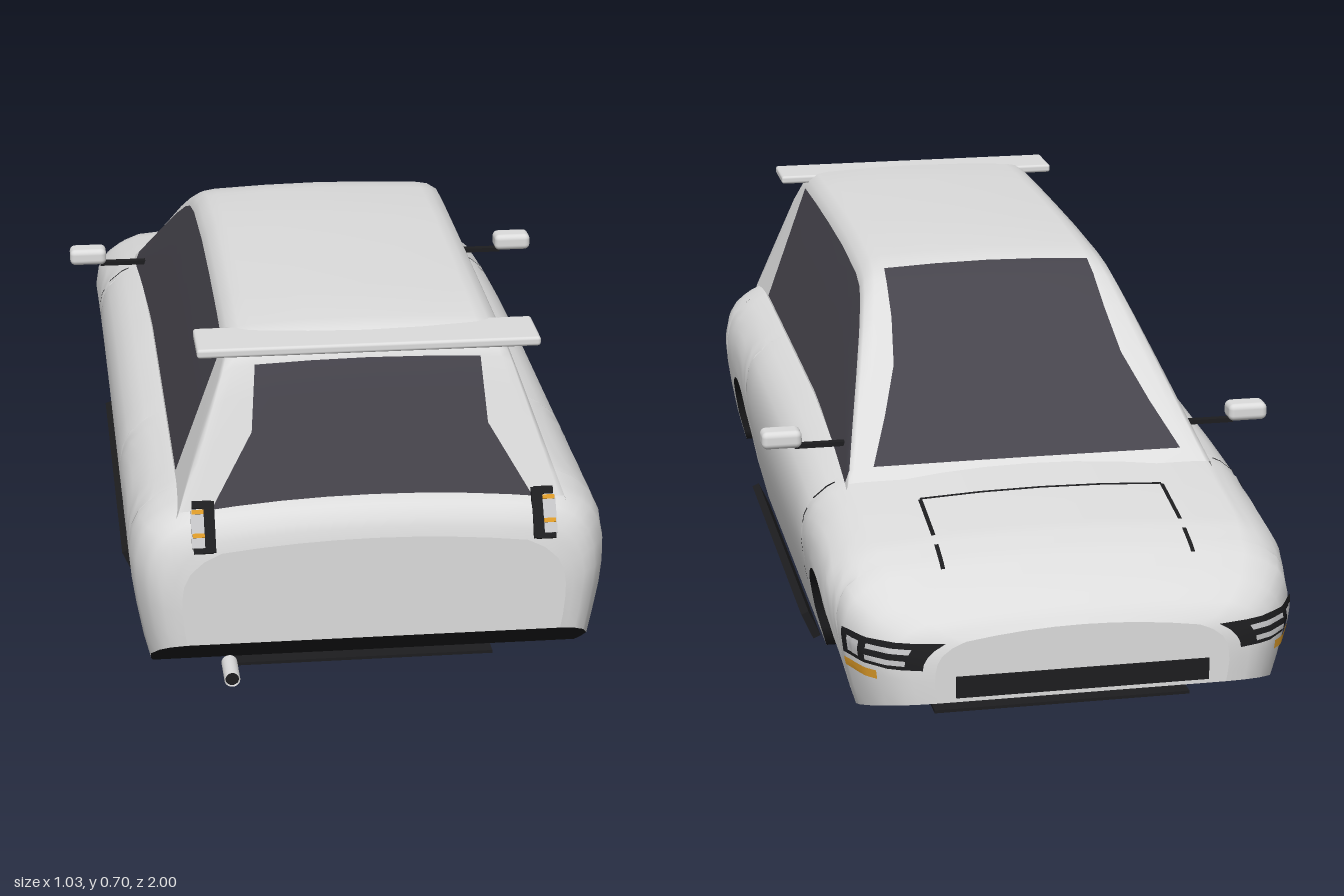
import * as THREE from 'three';
import { RoundedBoxGeometry } from 'three/addons/geometries/RoundedBoxGeometry.js';

const mat = (name, color, side = THREE.FrontSide) => {
  const m = new THREE.MeshStandardMaterial({ color, side });
  m.name = name;
  return m;
};

// Linear lookup in a table of [key, value]
function look(table, k) {
  if (k <= table[0][0]) return table[0][1];
  for (let i = 1; i < table.length; i++) {
    const [k0, v0] = table[i - 1], [k1, v1] = table[i];
    if (k <= k1) return v0 + (v1 - v0) * (k - k0) / (k1 - k0);
  }
  return table[table.length - 1][1];
}

// Body curves along z: half width, shoulder height, lower edge
const WIDTH = [[-1, .27], [-.99, .32], [-.97, .36], [-.93, .4], [-.87, .43], [-.75, .45], [.85, .45], [.9, .442], [.94, .42], [.96, .395], [.97, .36]];
const DECK = [[-1, .215], [-.98, .24], [-.93, .275], [-.85, .31], [-.78, .33], [-.65, .35], [-.5, .37], [-.3, .385], [0, .395], [.8, .395], [.9, .39], [.925, .385], [.95, .37], [.965, .345], [.97, .32]];
const SKIRT = [[-1, .1], [-.83, .04], [-.829, .01], [.814, .01], [.816, .03], [.97, .135]];
// Side bulge by relative height
const BULGE = [[0, .89], [.25, .945], [.5, .985], [.68, 1], [.8, .985], [.88, .95], [.95, .88], [1, .79]];
// Cabin curves along z: roofline and half width of the front and rear glass
const ROOF = [[-.53, .375], [-.5, .395], [-.4, .468], [-.3, .543], [-.2, .615], [-.12, .664], [-.07, .685], [0, .696], [.2, .704], [.5, .704], [.76, .696], [.815, .677], [.84, .645], [.88, .525], [.925, .388]];
const GLASS = [[-.5, .31], [-.4, .27], [-.3, .235], [-.2, .222], [-.07, .215], [.84, .21], [.88, .22], [.925, .3]];

const sideX = (z, y) => look(WIDTH, z) * look(BULGE, y / look(DECK, z));
const hoodY = (z, x) => look(DECK, z) + .018 * (1 - (x / (.79 * look(WIDTH, z))) ** 2);
const lerp = THREE.MathUtils.lerp;

// Skin over rows of points; pick(i, j) gives a material index for each quad
function skin(rows, pick = () => 0) {
  const n = rows[0].length, faces = [[], []];
  for (let i = 0; i < rows.length - 1; i++) {
    for (let j = 0; j < n - 1; j++) {
      const a = i * n + j, b = a + n;
      faces[pick(i, j)].push(a, b, a + 1, b, b + 1, a + 1);
    }
  }
  const g = new THREE.BufferGeometry();
  g.setAttribute('position', new THREE.Float32BufferAttribute(rows.flat(2), 3));
  g.setIndex(faces.flat());
  g.addGroup(0, faces[0].length, 0);
  g.addGroup(faces[0].length, faces[1].length, 1);
  g.computeVertexNormals();
  return g;
}
const mirrorRow = half => [...half, ...half.slice(0, -1).reverse().map(([x, y, z]) => [-x, y, z])];

function bodyRow([z, yb]) {
  const yd = look(DECK, z), half = [];
  for (const t of [0, .15, .35, .5, .65, .78, .86, .91, .95, 1]) {
    const y = lerp(yb, yd, t);
    half.push([sideX(z, y), y, z]);
  }
  for (const f of [.75, .5, .25, 0]) {
    const x = f * .79 * look(WIDTH, z);
    half.push([x, hoodY(z, x), z]);
  }
  return mirrorRow(half);
}

function cabinRow(z) {
  const y0 = look(DECK, z) - .012, r = look(ROOF, z), h = Math.max(r - y0, .004), k = h / .31;
  const wall = y => .358 - .36 * (y - .39);
  const yw = y0 + h * .86, xw = wall(yw), g = look(GLASS, z);
  return mirrorRow([
    [wall(y0), y0, z], [wall(y0 + .05 * h), y0 + .05 * h, z], [wall(y0 + .45 * h), y0 + .45 * h, z], [xw, yw, z],
    [xw - .01, r - .024 * k, z], [xw - .03, r - .011 * k, z], [g, r - .007 * k, z], [g / 2, r - .002 * k, z], [0, r, z],
  ]);
}

export function createModel() {
  const car = new THREE.Group();
  car.name = 'car';
  const paint = mat('silver white paint', 0xdcdcdc, THREE.DoubleSide);
  const glass = mat('tinted glass', 0x46444c);
  const black = mat('black trim', 0x1d1d1f, THREE.DoubleSide);
  const lamp = mat('lamp grey', 0xc4c4c6);
  const amber = mat('amber', 0xdc9a28);
  const add = (name, geo, material, x = 0, y = 0, z = 0) => {
    const m = new THREE.Mesh(geo, material);
    m.name = name;
    m.position.set(x, y, z);
    car.add(m);
    return m;
  };
  const box = (name, x0, x1, y0, y1, z0, z1, material) => add(name,
    new THREE.BoxGeometry(x1 - x0, y1 - y0, z1 - z0), material, (x0 + x1) / 2, (y0 + y1) / 2, (z0 + z1) / 2);

  // Lower body, with stations following the two wheel arches
  const stations = [.97, .966, .96, .95, .94, .925, .9, .87, .84].map(z => [z, look(SKIRT, z)]);
  const arch = (zc, before, after) => {
    stations.push([zc + .185, before]);
    for (let i = 0; i <= 24; i++) {
      const a = Math.PI * i / 24;
      stations.push([zc + .185 * Math.cos(a), .05 + .185 * Math.sin(a)]);
    }
    stations.push([zc - .185, after]);
  };
  arch(.63, .03, .01);
  for (let i = 1; i < 10; i++) stations.push([lerp(.445, -.46, i / 10), .01]);
  arch(-.645, .01, .04);
  for (const z of [-.85, -.87, -.9, -.93, -.95, -.97, -.98, -.99, -.998]) stations.push([z, look(SKIRT, z)]);
  const rows = stations.map(bodyRow), n = rows[0].length;
  add('body', skin(rows), [paint, paint]);
  add('underside', skin(rows.map(r => [r[n - 1], r[0]])), [black, black]);
  const ends = row => row.slice(0, (n + 1) / 2).map((p, k) => [p, row[n - 1 - k]]);
  add('rearPanel', skin(ends(rows[0])), [paint, paint]);
  add('nosePanel', skin(ends(rows.at(-1)).map(([a, b]) => [b, a])), [paint, paint]);
  box('floorPan', -.25, .25, .006, .012, -.83, .81, black);

  // Cabin, with windscreen, side and rear glass
  const zs = [.925, .91, .895, .88, .86, .84, .828, .815, .79, .76, .6, .4, .2, .1, 0, -.035, -.07, -.095, -.12, -.16, -.2, -.25, -.3, -.35, -.4, -.45, -.5, -.53];
  add('cabin', skin(zs.map(cabinRow), (i, j) => {
    const z = (zs[i] + zs[i + 1]) / 2;
    const s = Math.min(j, 15 - j);
    if ((s === 1 || s === 2) && z < .76 && z > -.5) return 1;
    return s >= 6 && (z > .84 || (z < -.07 && z > -.51)) ? 1 : 0;
  }), [paint, glass]);

  // Thin patch laid on the flank of the body
  const patch = (name, side, z0, z1, y0, y1, material, off = .004) => {
    const grid = [];
    for (let i = 0; i <= 10; i++) {
      const z = lerp(z0, z1, i / 10), row = [];
      for (let j = 0; j <= 4; j++) {
        const y = lerp(y0, y1, j / 4);
        row.push([side * (sideX(z, y) + off), y, z < -.9 ? z - off * .5 : z]);
      }
      grid.push(side > 0 ? row : row.reverse());
    }
    add(name, skin(grid), [material, material]);
  };
  // Thin strip laid on the bonnet
  const strip = (x0, x1, z0, z1) => {
    const grid = [];
    for (let i = 0; i <= 6; i++) {
      const z = lerp(z0, z1, i / 6);
      grid.push([1, .75, .5, .25, 0].map(t => lerp(x0, x1, t)).map(x => [x, hoodY(z, x) + .003, z]));
    }
    add('bonnetSeam', skin(grid), [black, black]);
  };
  strip(-.24, .24, -.62, -.627);

  for (const s of [1, -1]) {
    const side = s > 0 ? 'left' : 'right';
    const span = (name, x0, x1, ...rest) => box(side + name, Math.min(s * x0, s * x1), Math.max(s * x0, s * x1), ...rest);
    strip(s * .24 - .004, s * .24 + .004, -.627, -.77);
    strip(s * .24 - .004, s * .24 + .004, -.8, -.87);

    // Headlamps and indicators
    patch(side + 'HeadlampFrame', s, -.87, -.994, .165, .215, black);
    patch(side + 'HeadlampOuter', s, -.89, -.92, .175, .205, lamp, .007);
    patch(side + 'HeadlampUpper', s, -.935, -.985, .195, .205, lamp, .007);
    patch(side + 'HeadlampLower', s, -.935, -.985, .173, .183, lamp, .007);
    patch(side + 'FrontIndicator', s, -.87, -.95, .138, .155, amber);

    // Door seam dashes
    for (const y of [.16, .22, .28, .33]) patch(side + 'DoorSeam', s, -.474, -.48, y, y + .03, black, .003);

    // Side sill
    const sill = box(side + 'Sill', -.008, .008, .006, .064, -.41, .39, black);
    sill.position.x = s * .427;
    sill.rotation.z = -s * .42;

    // Door mirror
    add(side + 'Mirror', new RoundedBoxGeometry(.08, .036, .05, 3, .012), paint, s * .477, .428, -.385);
    span('MirrorArm', .35, .45, .404, .413, -.39, -.375, black);

    // Tail lamp on a tilted plate
    const tail = new THREE.Group();
    tail.name = side + 'TailLamp';
    tail.position.set(s * .318, .366, .951);
    tail.rotation.x = -.58;
    const bit = (name, x, y, w, h, z, m) => {
      const p = new THREE.Mesh(new THREE.BoxGeometry(w, h, .008), m);
      p.name = name;
      p.position.set(s * x, y, z);
      tail.add(p);
    };
    bit('frame', -.012, 0, .022, .095, 0, black);
    bit('frameTop', 0, .042, .036, .014, 0, black);
    bit('frameFoot', 0, -.042, .036, .014, 0, black);
    bit('reverseLens', .009, -.004, .024, .07, .001, lamp);
    bit('upperIndicator', .008, .028, .022, .008, .004, amber);
    bit('lowerIndicator', .008, -.016, .022, .008, .004, amber);
    car.add(tail);
  }

  // Front grille, rear spoiler and exhaust
  box('grille', -.24, .24, .108, .15, -1.001, -.995, black);
  add('spoiler', new RoundedBoxGeometry(.636, .018, .115, 2, .006), paint, 0, .674, .8125);
  const pipe = add('exhaust', new THREE.CylinderGeometry(.015, .015, .07, 20, 1, true), paint, -.27, .076, .965);
  pipe.rotation.x = Math.PI / 2;
  add('exhaustBore', new THREE.CircleGeometry(.0125, 20), black, -.27, .076, .998);
  return car;
}
